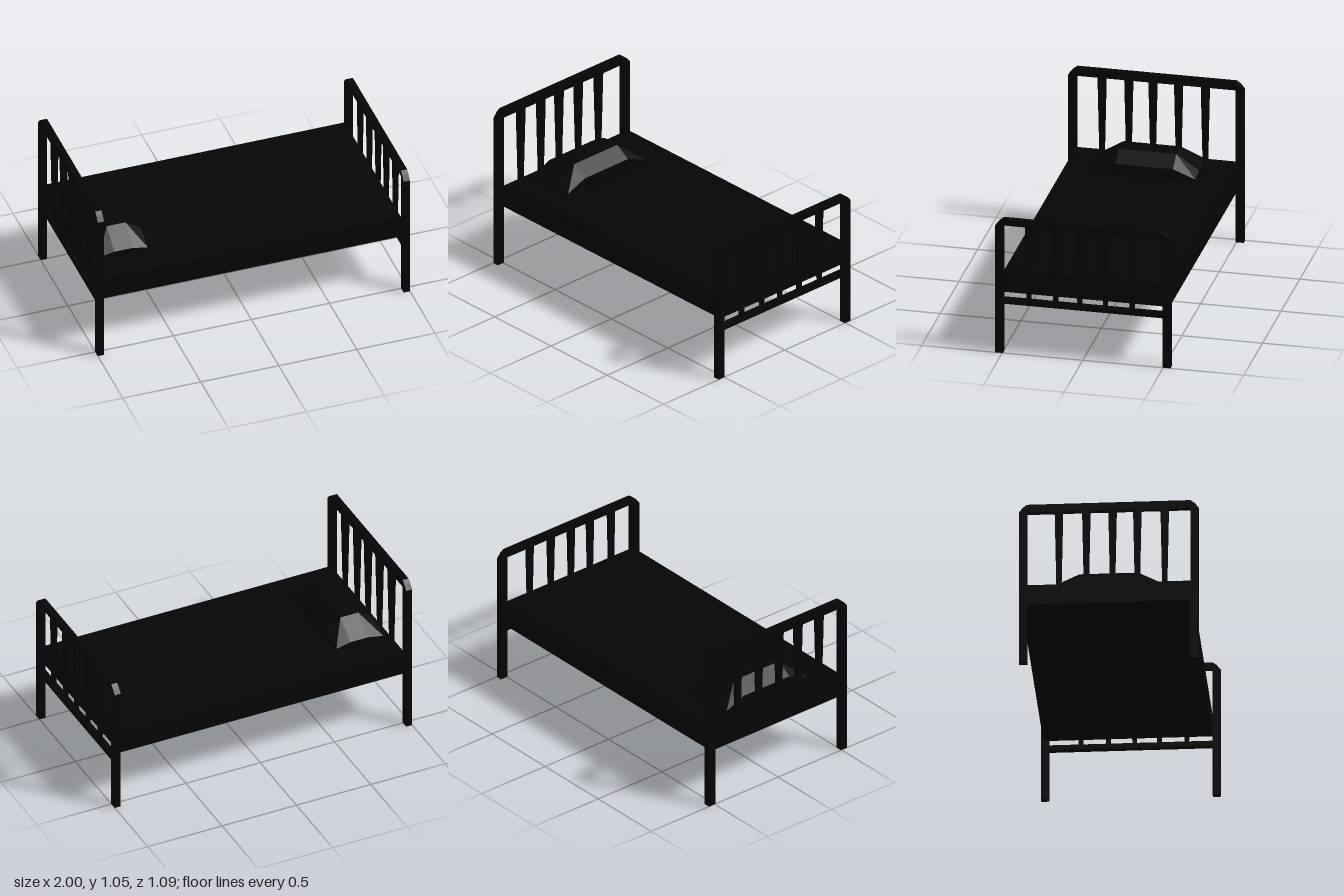
import * as THREE from 'three';
import { ConvexGeometry } from 'three/addons/geometries/ConvexGeometry.js';

const material = new THREE.MeshStandardMaterial({ color: 0x050505, flatShading: true });

const POST_OUT = 0.545, POST_IN = 0.495, THICK = 0.04;
const SLAT_Z = [0.338, 0.172, 0.022, -0.137, -0.303];

function addMesh(parent, name, geometry, x = 0, y = 0, z = 0) {
  const mesh = new THREE.Mesh(geometry, material);
  mesh.name = name;
  mesh.position.set(x, y, z);
  parent.add(mesh);
  return mesh;
}

// Square bar, wider at the top than at the bottom
function slatGeometry(bottom, top, topWidth, bottomWidth) {
  const g = new THREE.CylinderGeometry(topWidth * Math.SQRT1_2, bottomWidth * Math.SQRT1_2, top - bottom, 4);
  g.rotateY(Math.PI / 4);
  g.scale(0.72, 1, 1);
  g.translate(0, (top + bottom) / 2, 0);
  return g;
}

// Two legs, a top rail with cut corners and a lower rail, with tapered slats between
function createEndBoard(name, x, top, railBottom, lowBottom, lowTop, slatWidth) {
  const board = new THREE.Group();
  board.name = name;
  board.position.x = x;

  const frame = new THREE.Shape([
    [-POST_OUT, 0], [-POST_IN, 0], [-POST_IN, lowBottom], [POST_IN, lowBottom],
    [POST_IN, 0], [POST_OUT, 0], [POST_OUT, top - 0.05], [POST_OUT - 0.025, top - 0.019],
    [POST_IN, top], [-POST_IN, top], [-POST_OUT + 0.025, top - 0.019], [-POST_OUT, top - 0.05],
  ].map(([a, b]) => new THREE.Vector2(a, b)));
  frame.holes.push(new THREE.Path([
    [-POST_IN, lowTop], [-POST_IN, railBottom], [POST_IN, railBottom], [POST_IN, lowTop],
  ].map(([a, b]) => new THREE.Vector2(a, b))));

  const geometry = new THREE.ExtrudeGeometry(frame, { depth: THICK, bevelEnabled: false });
  geometry.translate(0, 0, -THICK / 2);
  geometry.rotateY(Math.PI / 2);
  addMesh(board, name + 'Frame', geometry);

  const slat = slatGeometry(lowTop - 0.01, railBottom + 0.01, slatWidth, 0.027);
  SLAT_Z.forEach((z) => addMesh(board, name + 'Slat', slat, 0, 0, z));
  return board;
}

// Cushion with a flat crown sloping down to lower edges
function pillowGeometry() {
  const xs = [-0.91, -0.81, -0.69, -0.595];
  const zs = [-0.33, -0.19, 0.165, 0.305];
  const points = [];
  xs.forEach((x, i) => zs.forEach((z, j) => {
    const edgeX = i === 0 || i === 3, edgeZ = j === 0 || j === 3;
    const y = edgeX && edgeZ ? 0.55 : edgeX ? 0.605 : edgeZ ? 0.57 : 0.665;
    points.push(new THREE.Vector3(x, y, z));
    if (edgeX && edgeZ) points.push(new THREE.Vector3(x, 0.525, z));
  }));
  return new ConvexGeometry(points);
}

export function createModel() {
  const bed = new THREE.Group();
  bed.name = 'bed';
  bed.add(createEndBoard('headboard', -0.98, 1.05, 1.0, 0.385, 0.42, 0.05));
  bed.add(createEndBoard('footboard', 0.98, 0.88, 0.84, 0.325, 0.357, 0.043));

  // Mattress sits slightly towards the back
  addMesh(bed, 'mattress', new THREE.BoxGeometry(1.92, 0.146, 1.025), 0, 0.459, -0.0175);
  addMesh(bed, 'pillow', pillowGeometry());
  return bed;
}
